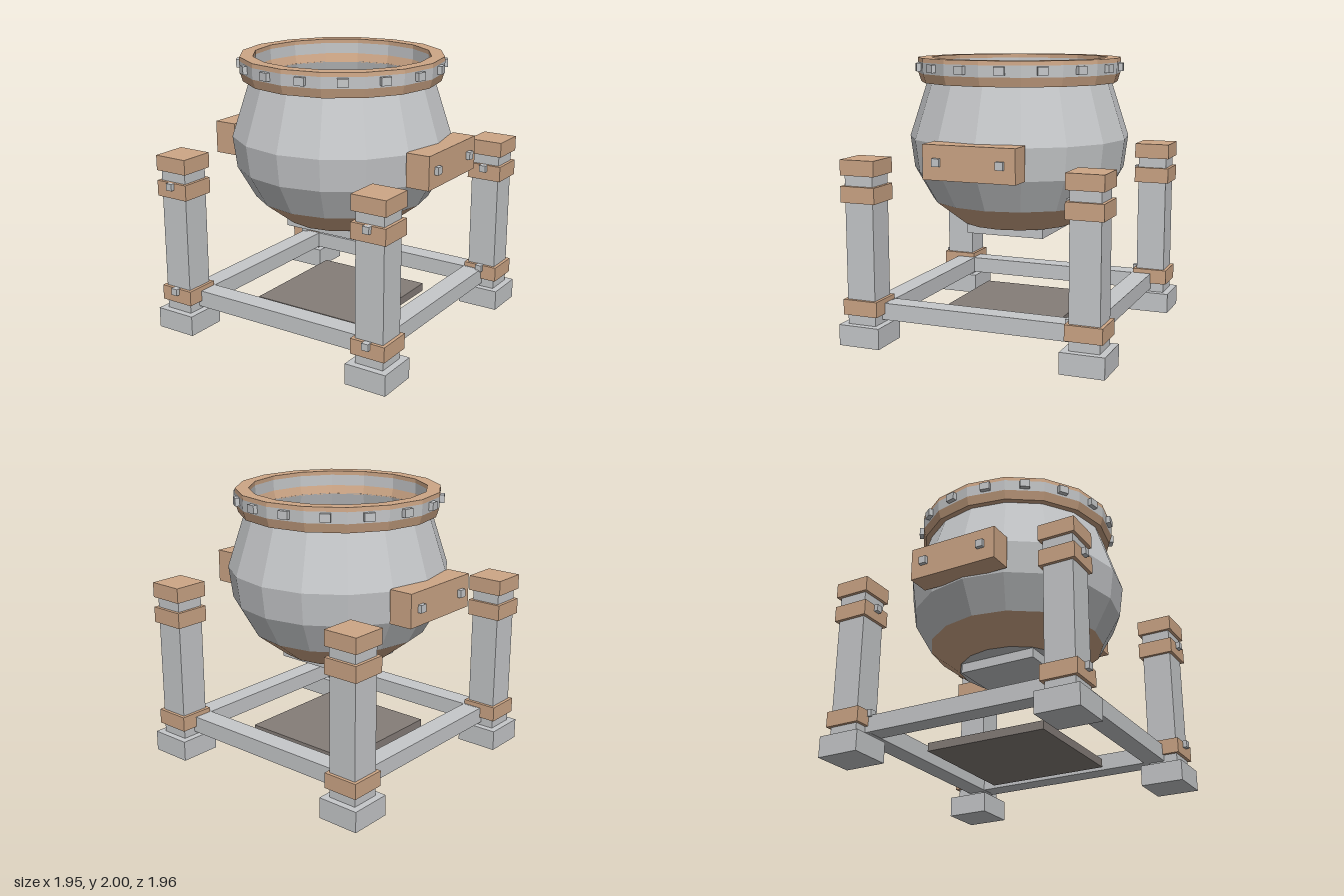
import * as THREE from 'three';

export function createModel() {
  const model = new THREE.Group();
  const material = (name, color) => {
    const m = new THREE.MeshStandardMaterial({ color });
    m.name = name;
    return m;
  };
  const iron = material('light iron', 0xc6c8ca);
  const copper = material('copper', 0xcda686);
  const ash = material('dark ash', 0x857d78);

  const add = (parent, name, geometry, mat, x = 0, y = 0, z = 0) => {
    const mesh = new THREE.Mesh(geometry, mat);
    mesh.name = name;
    mesh.position.set(x, y, z);
    parent.add(mesh);
    return mesh;
  };
  // Box given by its width, bottom, top and depth
  const box = (parent, name, mat, x, z, w, y0, y1, d) =>
    add(parent, name, new THREE.BoxGeometry(w, y1 - y0, d), mat, x, (y0 + y1) / 2, z);
  // Faceted 16-sided ring; profile rises on the outside and falls on the inside
  const SIDES = 16;
  const ring = (parent, name, mat, profile) => {
    const points = profile.map(([r, y]) => new THREE.Vector2(r, y));
    const geometry = new THREE.LatheGeometry(points, SIDES).toNonIndexed();
    geometry.computeVertexNormals();
    return add(parent, name, geometry, mat);
  };

  // Bowl
  const bowl = new THREE.Group();
  bowl.name = 'bowl';
  model.add(bowl);
  ring(bowl, 'bowlUnderside', iron, [[0, 0.8], [0.42, 0.8]]);
  ring(bowl, 'bowlLowerOuter', copper, [[0.42, 0.8], [0.64, 0.97]]);
  ring(bowl, 'bowlWall', iron, [
    [0.64, 0.97], [0.77, 1.2], [0.8, 1.43], [0.67, 1.83],
    [0.62, 1.83], [0.75, 1.42], [0.72, 1.21], [0.585, 0.99],
  ]);
  ring(bowl, 'bowlLowerInner', copper, [[0.585, 0.99], [0.38, 0.84]]);
  ring(bowl, 'bowlFloor', iron, [[0.38, 0.84], [0, 0.84]]);
  box(bowl, 'bowlBase', iron, 0, 0, 0.585, 0.73, 0.8, 0.585);

  // Rim: copper lips around an iron band
  ring(bowl, 'rimLowerLip', copper, [[0.64, 1.89], [0.62, 1.825], [0.715, 1.825], [0.735, 1.89]]);
  ring(bowl, 'rimBandOuter', iron, [[0.735, 1.89], [0.738, 1.97]]);
  ring(bowl, 'rimBandInner', iron, [[0.64, 1.97], [0.64, 1.89]]);
  ring(bowl, 'rimUpperLip', copper, [[0.738, 1.97], [0.735, 2], [0.64, 2], [0.64, 1.97]]);

  // Rim studs, one on each facet
  for (let i = 0; i < SIDES; i++) {
    const a = ((i + 0.5) / SIDES) * Math.PI * 2;
    const stud = box(bowl, 'rimStud', iron, Math.sin(a) * 0.732, Math.cos(a) * 0.732, 0.072, 1.905, 1.962, 0.045);
    stud.rotation.y = a;
  }

  // Side brackets with studs
  for (const s of [1, -1]) {
    box(model, 'sideBracket', copper, s * 0.822, 0, 0.175, 1.21, 1.45, 0.67);
    for (const z of [0.23, -0.23])
      box(model, 'bracketStud', iron, s * 0.915, z, 0.045, 1.305, 1.36, 0.055);
  }

  // Corner posts
  for (const sx of [1, -1]) {
    for (const sz of [1, -1]) {
      const post = new THREE.Group();
      post.name = 'cornerPost';
      post.position.set(sx * 0.82, 0, sz * 0.82);
      model.add(post);
      box(post, 'foot', iron, 0, 0, 0.312, 0, 0.15, 0.312);
      box(post, 'shaft', iron, 0, 0, 0.215, 0.15, 1.25, 0.215);
      for (const [name, y0, y1] of [['lowerCollar', 0.22, 0.33], ['upperCollar', 1.02, 1.135], ['postCap', 1.21, 1.32]])
        box(post, name, copper, 0, 0, 0.262, y0, y1, 0.262);
      for (const y of [0.285, 1.085])
        box(post, 'collarStud', iron, 0, 0.138, 0.05, y, y + 0.05, 0.045);
    }
  }

  // Base frame beams
  for (const s of [1, -1]) {
    box(model, 'crossBeam', iron, 0, s * 0.755, 1.6, 0.175, 0.297, 0.148);
    box(model, 'sideBeam', iron, s * 0.757, 0, 0.146, 0.176, 0.296, 1.6);
  }

  // Fire plate
  box(model, 'firePlate', ash, 0, 0, 0.905, 0.115, 0.175, 0.905);

  return model;
}
